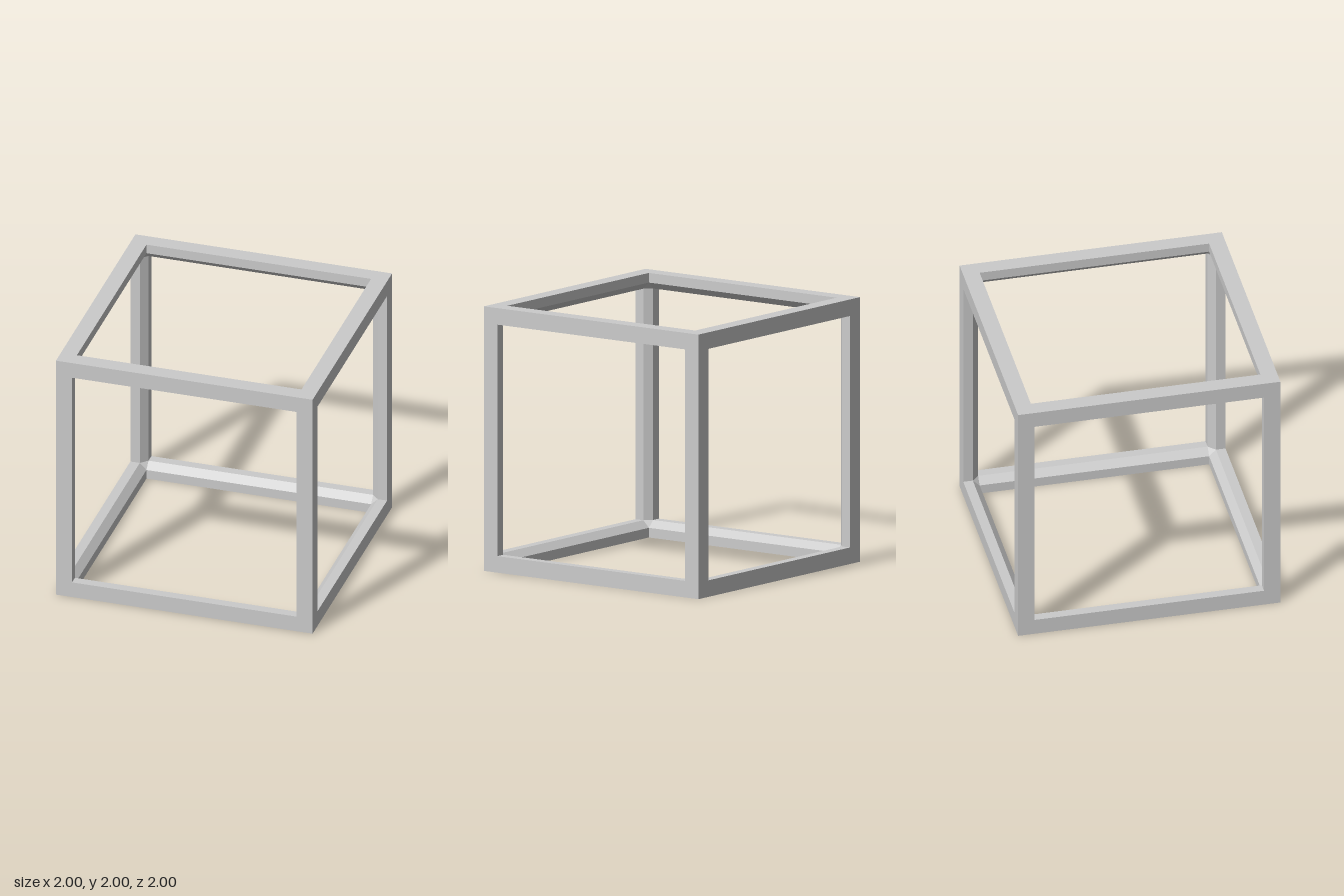
import * as THREE from 'three';

const T = 0.125; // width of a bar's outer faces
const D = 0.073; // depth of its inner side faces, before the chamfer

const material = new THREE.MeshStandardMaterial({ color: 0xcccccc, flatShading: true });

function facets(points) {
  const geometry = new THREE.BufferGeometry();
  geometry.setAttribute('position', new THREE.Float32BufferAttribute(points.flat(), 3));
  geometry.computeVertexNormals();
  return geometry;
}

// Bar along x on the lower back edge: chamfered square section, mitred ends
function barGeometry() {
  const profile = [[0, 0], [T, 0], [T, D], [D, T], [0, T]];
  const at = ([u, v], side) => [side * (1 - Math.max(u, v)), u - 1, v - 1];
  const points = [];
  profile.forEach((p, i) => {
    const q = profile[(i + 1) % profile.length];
    points.push(at(p, -1), at(q, -1), at(q, 1), at(p, -1), at(q, 1), at(p, 1));
  });
  return facets(points);
}

// Small triangle closing the inside of a corner where three chamfers meet
function cornerGeometry() {
  return facets([[D - 1, T - 1, T - 1], [T - 1, D - 1, T - 1], [T - 1, T - 1, D - 1]]);
}

export function createModel() {
  const model = new THREE.Group();
  model.name = 'cubeFrame';
  const frame = new THREE.Group();
  frame.name = 'frame';
  frame.position.y = 1;
  model.add(frame);

  const quarter = Math.PI / 2;
  const add = (name, geometry) => {
    const mesh = new THREE.Mesh(geometry, material);
    mesh.name = name;
    frame.add(mesh);
  };

  // Four bars along each axis
  const bar = barGeometry();
  for (let k = 0; k < 4; k++) {
    const turned = bar.clone().rotateX(k * quarter);
    add('crossBar', turned);
    add('post', turned.clone().rotateZ(quarter));
    add('sideBar', turned.clone().rotateY(quarter));
  }

  // Four lower and four upper inner corners
  const corner = cornerGeometry();
  for (let k = 0; k < 4; k++) {
    add('lowerCorner', corner.clone().rotateY(k * quarter));
    add('upperCorner', corner.clone().rotateX(Math.PI).rotateY(k * quarter));
  }
  return model;
}
